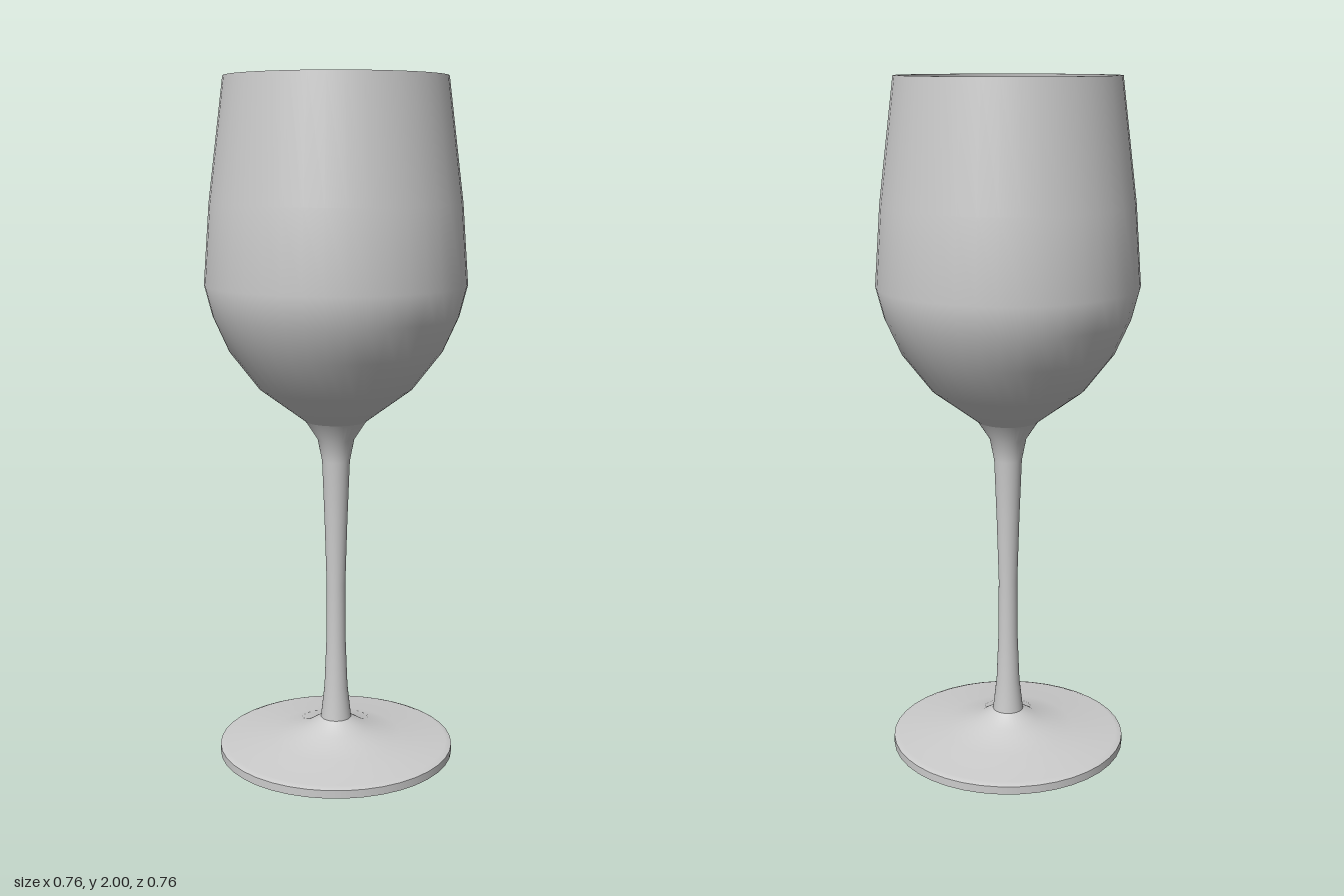
import * as THREE from 'three';

const SEGMENTS = 40;

// Revolve a profile of [radius, height] pairs; profiles run from the base
// centre outwards, up the outside and down the inside.
function turned(name, profile, material) {
  const points = profile.map(([r, y]) => new THREE.Vector2(r, y));
  const mesh = new THREE.Mesh(new THREE.LatheGeometry(points, SEGMENTS), material);
  mesh.name = name;
  return mesh;
}

export function createModel() {
  const glass = new THREE.MeshStandardMaterial({ color: 0xcccccc });
  const group = new THREE.Group();
  group.name = 'wineGlass';

  // Separate profiles keep the edges between them sharp
  const profiles = {
    footUnderside: [[0, 0], [0.352, 0]],
    footEdge: [[0.352, 0], [0.352, 0.024]],
    footTop: [[0.352, 0.024], [0.335, 0.031], [0.2, 0.043], [0.095, 0.07], [0.046, 0.102]],
    stem: [
      [0.046, 0.102], [0.035, 0.2], [0.029, 0.35], [0.028, 0.52],
      [0.034, 0.72], [0.041, 0.9], [0.054, 0.965], [0.09, 1.02],
    ],
    bowlOutside: [
      [0.09, 1.02], [0.225, 1.12], [0.31, 1.23], [0.355, 1.33],
      [0.378, 1.42], [0.361, 1.65], [0.317, 2],
    ],
    rim: [[0.317, 2], [0.304, 2]],
    bowlInside: [
      [0.304, 2], [0.348, 1.65], [0.364, 1.42], [0.342, 1.335],
      [0.298, 1.24], [0.225, 1.145], [0.155, 1.09], [0.104, 1.055],
    ],
    bowlFloor: [[0.104, 1.055], [0, 1.05]],
  };
  for (const [name, profile] of Object.entries(profiles)) {
    group.add(turned(name, profile, glass));
  }
  return group;
}
